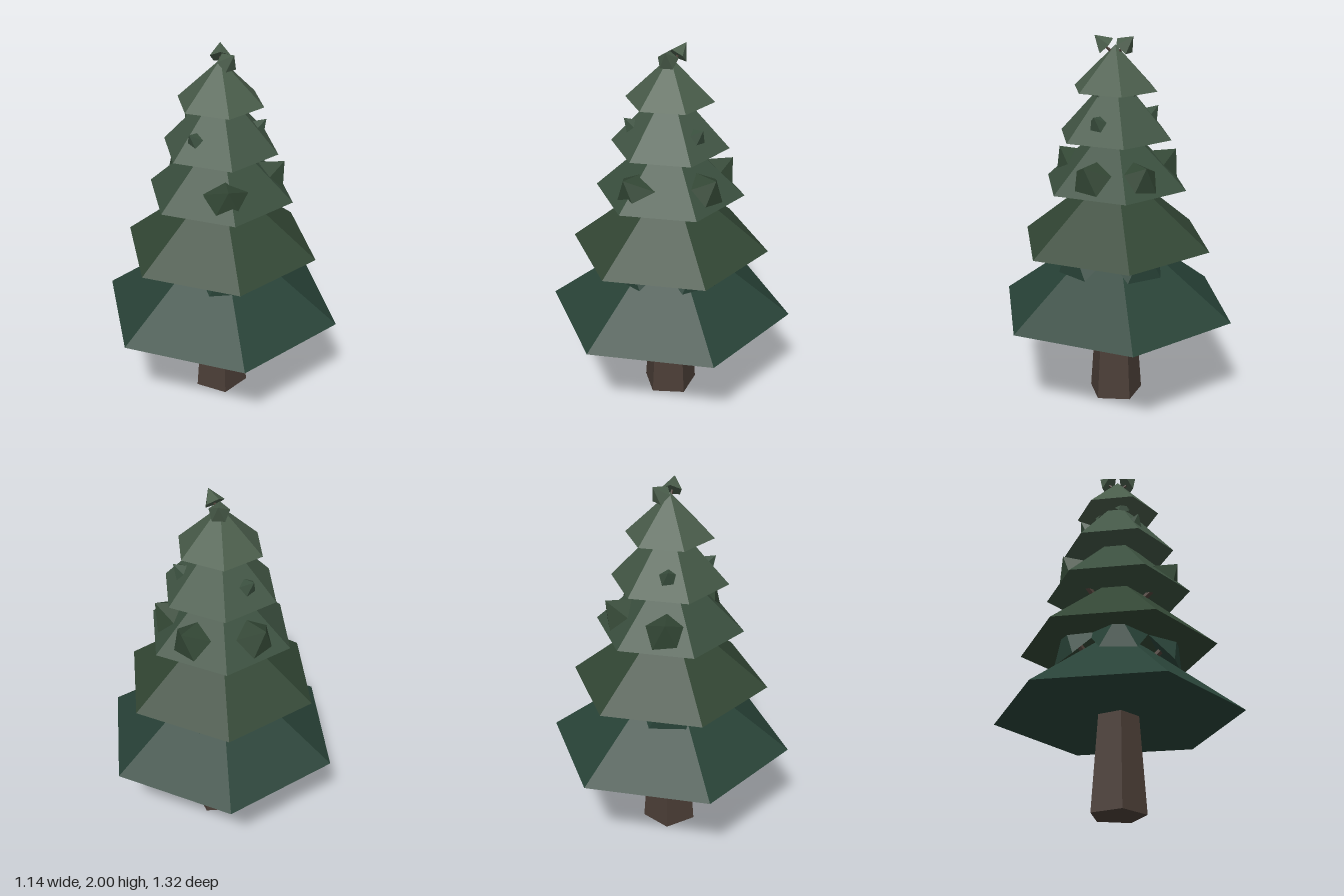
import * as THREE from 'three';

const material = (color) => new THREE.MeshStandardMaterial({ color, flatShading: true, roughness: 1 });
const bark = material(0x4a3d36);

function part(name, geometry, mat, parent) {
  const mesh = new THREE.Mesh(geometry, mat);
  mesh.name = name;
  parent.add(mesh);
  return mesh;
}

// Twig rising outwards at 45 degrees, ending in a small five-sided cone.
// out and y give the centre of the cone's base.
function branch(angle, { out, y, radius, height, length, twig }, mat) {
  const turn = new THREE.Group();
  turn.name = 'branch';
  turn.rotation.y = Math.PI / 2 - THREE.MathUtils.degToRad(angle);
  const tilt = new THREE.Group();
  tilt.name = 'tiltedBranch';
  tilt.position.set(0, y, out);
  tilt.rotation.x = Math.PI / 4;
  turn.add(tilt);
  part('twig', new THREE.CylinderGeometry(twig * 0.7, twig, length, 5).translate(0, -length / 2, 0), bark, tilt);
  part('needleTuft', new THREE.ConeGeometry(radius, height, 5).rotateY(Math.PI).translate(0, height / 2, 0), mat, tilt);
  return turn;
}

export function createModel() {
  const tree = new THREE.Group();
  tree.name = 'pineTree';

  // Tapering five-sided trunk
  part('trunk', new THREE.CylinderGeometry(0.012, 0.15, 1.88, 5).translate(0, 0.94, 0), bark, tree);

  // Six-sided foliage tiers: base height, radius, apex height, colour
  const tiers = [
    [0.52, 0.66, 1.02, 0x284237],
    [0.90, 0.53, 1.33, 0x324634],
    [1.22, 0.395, 1.59, 0x3a4f3e],
    [1.48, 0.31, 1.82, 0x425645],
    [1.725, 0.23, 1.95, 0x495c4a],
  ];
  const greens = tiers.map(([base, radius, apex, color], i) => {
    const mat = material(color);
    const height = apex - base;
    part('foliageTier' + (i + 1), new THREE.ConeGeometry(radius, height, 6).translate(0, base + height / 2, 0), mat, tree);
    return mat;
  });

  // Rings of branches showing between the tiers
  const rings = [
    { angles: [94, 170, 22, -50, -130], out: 0.23, y: 0.87, radius: 0.165, height: 0.13, length: 0.25, twig: 0.024 },
    { angles: [94, 6, -50, -128], out: 0.25, y: 1.295, radius: 0.12, height: 0.12, length: 0.27, twig: 0.02 },
    { angles: [5, 142, -130], out: 0.175, y: 1.56, radius: 0.065, height: 0.085, length: 0.2, twig: 0.015 },
    { angles: [35, 155, -85], out: 0.09, y: 1.725, radius: 0.05, height: 0.06, length: 0.11, twig: 0.01 },
    { angles: [62, -80], out: 0.05, y: 1.943, radius: 0.055, height: 0.08, length: 0.08, twig: 0.009 },
  ];
  rings.forEach((ring, i) => {
    for (const angle of ring.angles) tree.add(branch(angle, ring, greens[i]));
  });

  return tree;
}
